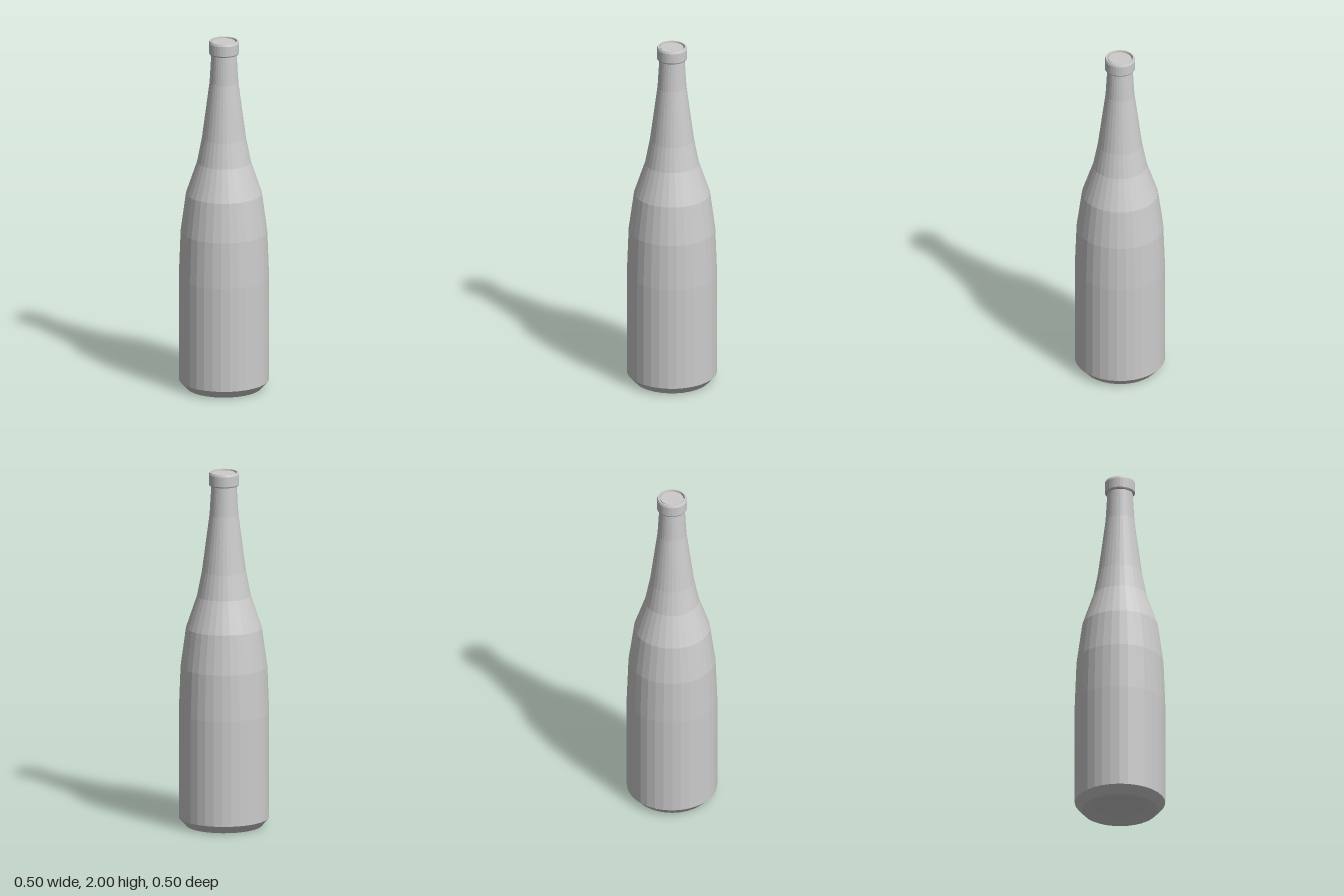
import * as THREE from 'three';

const SIDES = 32;

export function createModel() {
  const model = new THREE.Group();
  const material = new THREE.MeshStandardMaterial({ color: 0xcccccc, flatShading: true });

  // Revolves a [radius, height] profile around the bottle axis
  const addLathe = (name, profile) => {
    const points = profile.map(([r, y]) => new THREE.Vector2(r, y));
    const mesh = new THREE.Mesh(new THREE.LatheGeometry(points, SIDES), material);
    mesh.name = name;
    model.add(mesh);
  };

  // Recessed underside and bevelled foot
  addLathe('base', [[0, 0.025], [0.15, 0.025], [0.21, 0], [0.25, 0.045]]);

  // Straight lower wall, tapering into the shoulder
  addLathe('body', [[0.25, 0.045], [0.25, 0.64], [0.24, 0.9], [0.21, 1.12]]);

  // Shoulder and long neck
  addLathe('neck', [[0.21, 1.12], [0.149, 1.3], [0.122, 1.44], [0.08, 1.76], [0.07, 1.93]]);

  // Collar around the mouth, with a small groove inside its rim
  addLathe('lip', [
    [0.07, 1.925], [0.08, 1.925], [0.084, 1.932], [0.084, 1.988],
    [0.079, 2], [0.071, 2], [0.069, 1.98], [0.062, 1.98],
  ]);

  // Flat stopper closing the mouth
  addLathe('stopper', [[0.063, 1.975], [0.063, 1.995], [0, 1.995]]);

  return model;
}
